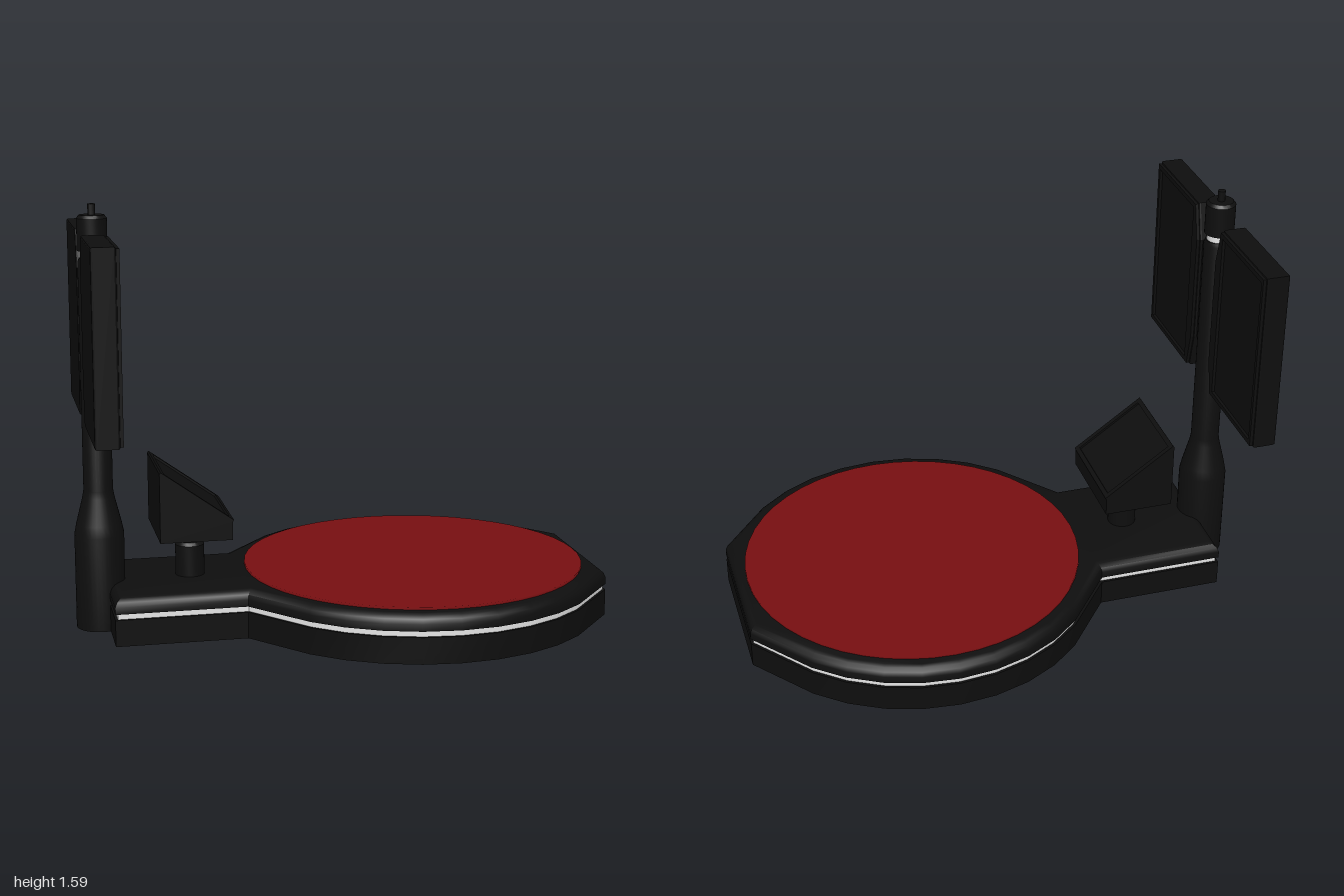
import * as THREE from 'three';
import { mergeGeometries, toCreasedNormals } from 'three/addons/utils/BufferGeometryUtils.js';

const V = (x, y) => new THREE.Vector2(x, y);

// Move a counter-clockwise outline inward by d, with mitred corners
function inset(outline, d) {
  const n = outline.length;
  const normal = (a, b) => V(a.y - b.y, b.x - a.x).normalize();
  return outline.map((p, i) => {
    const n1 = normal(outline[(i + n - 1) % n], p);
    const n2 = normal(p, outline[(i + 1) % n]);
    return n1.clone().add(n2).multiplyScalar(d / (1 + n1.dot(n2))).add(p);
  });
}

// Closed slab from a stack of [inset, height] levels
function slab(outline, levels) {
  const rings = levels.map(([d, y]) => inset(outline, d).map(p => [p.x, y, -p.y]));
  const pos = [];
  for (let i = 0; i < rings.length - 1; i++) {
    for (let k = 0; k < outline.length; k++) {
      const m = (k + 1) % outline.length;
      const a = rings[i][k], b = rings[i][m], c = rings[i + 1][m], d = rings[i + 1][k];
      pos.push(...a, ...b, ...c, ...a, ...c, ...d);
    }
  }
  const wall = new THREE.BufferGeometry();
  wall.setAttribute('position', new THREE.Float32BufferAttribute(pos, 3));
  wall.computeVertexNormals();
  const cap = ([d, y], side) => {
    const g = new THREE.ShapeGeometry(new THREE.Shape(inset(outline, d)))
      .rotateX(-side * Math.PI / 2).translate(0, y, 0).toNonIndexed();
    g.deleteAttribute('uv');
    return g;
  };
  const all = mergeGeometries([wall, cap(levels[0], -1), cap(levels[levels.length - 1], 1)]);
  return toCreasedNormals(all, 0.6);
}

export function createModel() {
  const group = new THREE.Group();
  const black = new THREE.MeshStandardMaterial({ color: 0x0e0e0e });
  black.name = 'black';
  const white = new THREE.MeshStandardMaterial({ color: 0xf4f4f4 });
  white.name = 'white';
  const red = new THREE.MeshStandardMaterial({ color: 0x780f11 });
  red.name = 'dark red';

  const add = (name, geometry, material) => {
    const mesh = new THREE.Mesh(geometry, material);
    mesh.name = name;
    group.add(mesh);
    return mesh;
  };
  const lathe = (points, segments = 32) =>
    new THREE.LatheGeometry(points.map(p => V(...p)), segments);

  // Base outline: round platform with a flat end and a straight neck
  const arc = [];
  for (let i = 0; i <= 8; i++) {
    const a = Math.PI * (0.25 + i / 16);
    arc.push(V(0.305 + 0.72 * Math.cos(a), 0.72 * Math.sin(a)));
  }
  const upper = [V(1, 0.28), ...arc, V(-0.39, 0.28), V(-0.88, 0.28)];
  const outline = [...upper, ...upper.map(p => V(p.x, -p.y)).reverse()];

  add('baseLower', slab(outline, [[0, 0], [0, 0.1]]), black);
  add('baseLightBand', slab(outline, [[0.01, 0.1], [0.01, 0.122]]), white);
  add('baseUpper', slab(outline,
    [[0, 0.122], [0, 0.148], [0.007, 0.165], [0.02, 0.177], [0.035, 0.182]]), black);

  // Softly shaded turntable disc
  add('platformDisc', lathe([[0.655, 0.18], [0.655, 0.192], [0, 0.192]], 48), red)
    .position.x = 0.305;

  // Column with a flared foot, light ring, cap and tip
  const cx = -0.907;
  const column = (name, points, material) => add(name,
    toCreasedNormals(lathe(points), 0.6), material).position.x = cx;
  column('column', [[0, 0], [0.093, 0], [0.093, 0.36], [0.085, 0.4], [0.06, 0.5],
    [0.055, 0.53], [0.055, 1.38], [0.05, 1.395], [0, 1.395]], black);
  column('columnLightRing', [[0.045, 1.39], [0.045, 1.425]], white);
  column('columnCap', [[0, 1.422], [0.056, 1.422], [0.056, 1.54], [0.046, 1.552],
    [0.014, 1.552], [0.014, 1.592], [0, 1.592]], black);

  // Pair of display panels with recessed screens facing the platform
  for (const [side, s] of [['left', -1], ['right', 1]]) {
    const points = [[0.122, 1.49], [0.525, 1.49], [0.525, 0.79], [0.117, 0.79],
      [0.088, 0.93], [0.088, 1.35]].map(([z, y]) => V(s * z, y));
    const ccw = s > 0 ? points.reverse() : points;
    const face = (pts, depth, frontX, options) =>
      new THREE.ExtrudeGeometry(pts, { depth, bevelEnabled: false, ...options })
        .rotateY(-Math.PI / 2).translate(frontX, 0, 0);

    add(side + 'PanelBody', face(new THREE.Shape(inset(ccw, 0.008)), 0.074, -0.878, {
      bevelEnabled: true, bevelSize: 0.008, bevelThickness: 0.008, bevelSegments: 2,
    }), black);

    const frame = new THREE.Shape(inset(ccw, 0.006));
    frame.holes.push(new THREE.Path(
      [[0.145, 0.815], [0.145, 1.465], [0.503, 1.465], [0.503, 0.815]].map(([z, y]) => V(s * z, y))));
    add(side + 'PanelFrame', face(frame, 0.012, -0.859), black);

    add(side + 'PanelBracket', new THREE.BoxGeometry(0.05, 0.42, 0.07), black)
      .position.set(cx, 1.14, s * 0.065);
  }

  // Control console: pedestal, stem and wedge-shaped head
  add('consolePedestal', toCreasedNormals(lathe(
    [[0.055, 0.17], [0.055, 0.3], [0.045, 0.312], [0, 0.312]]), 0.6), black).position.x = -0.567;
  add('consoleStem', new THREE.CylinderGeometry(0.016, 0.016, 0.06, 16), black)
    .position.set(-0.567, 0.335, 0);
  const wedge = new THREE.Shape(
    [V(-0.7, 0.355), V(-0.43, 0.355), V(-0.43, 0.424), V(-0.7, 0.617)]);
  add('consoleHead', new THREE.ExtrudeGeometry(wedge, { depth: 0.38, bevelEnabled: false })
    .translate(0, 0, -0.19), black);

  // Raised rim around the sloping console screen
  const rim = new THREE.Shape([V(-0.166, -0.19), V(0.166, -0.19), V(0.166, 0.19), V(-0.166, 0.19)]);
  rim.holes.push(new THREE.Path(
    [V(-0.148, -0.17), V(-0.148, 0.17), V(0.148, 0.17), V(0.148, -0.17)]));
  const rimMesh = add('consoleScreenRim',
    new THREE.ExtrudeGeometry(rim, { depth: 0.008, bevelEnabled: false }).rotateX(-Math.PI / 2), black);
  rimMesh.position.set(-0.565, 0.5205, 0);
  rimMesh.rotation.z = -Math.atan2(0.193, 0.27);

  return group;
}
